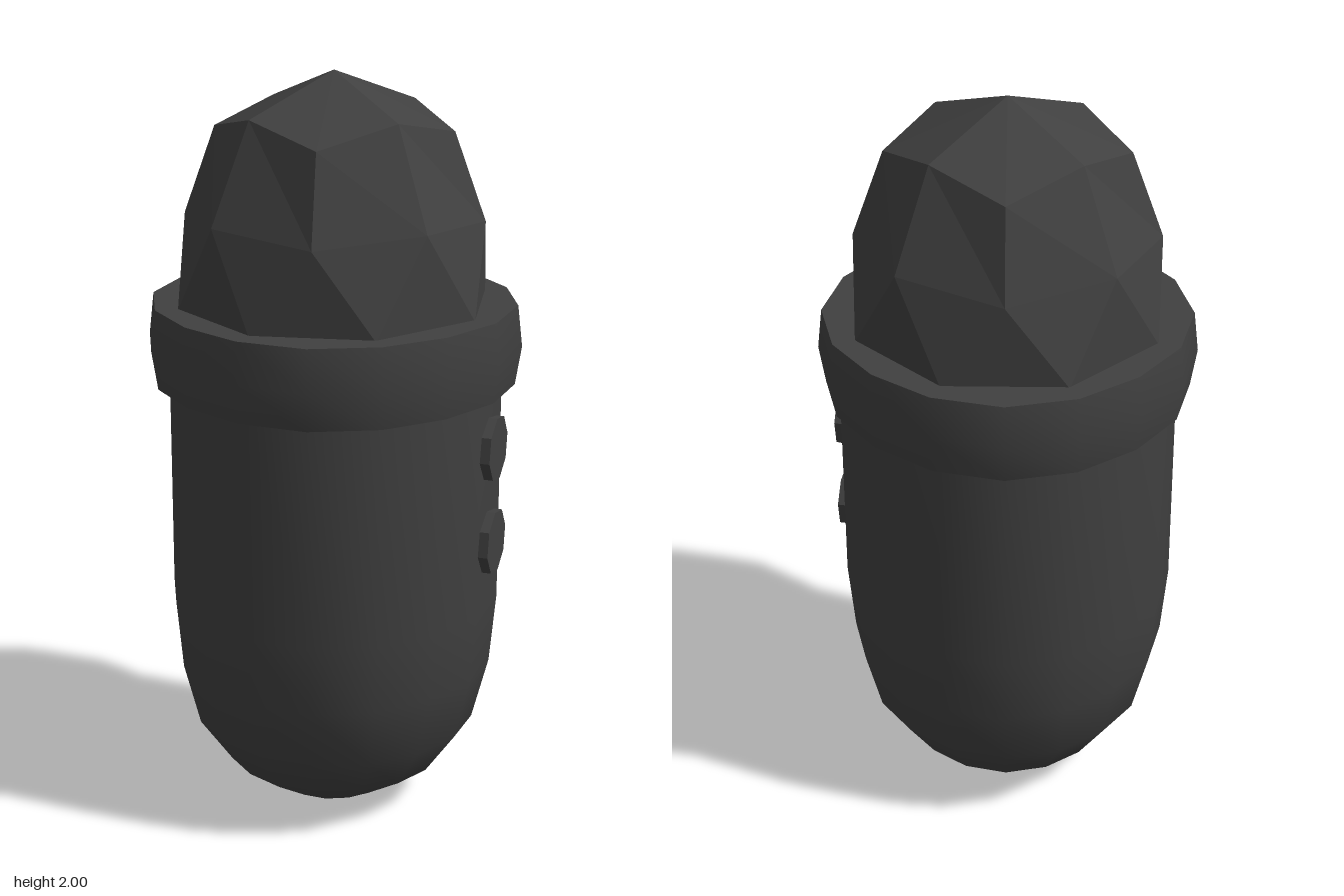
import * as THREE from 'three';
import { toCreasedNormals } from 'three/addons/utils/BufferGeometryUtils.js';

const SIDES = 16;

// 16-sided lathe, slightly squared toward the diagonals, with sharp edges kept
function turned(name, profile, material, crease) {
  const geo = new THREE.LatheGeometry(profile.map(([r, y]) => new THREE.Vector2(r, y)), SIDES);
  const p = geo.attributes.position;
  for (let i = 0; i < p.count; i++) {
    const k = 1.015 - 0.015 * Math.cos(4 * Math.atan2(p.getZ(i), p.getX(i)));
    p.setXYZ(i, p.getX(i) * k, p.getY(i), p.getZ(i) * k);
  }
  const mesh = new THREE.Mesh(toCreasedNormals(geo, crease), material);
  mesh.name = name;
  return mesh;
}

// Faceted dome: top quads, side quads, then a zigzag of triangles into the collar
function facetedHead() {
  const at = (r, y, step) => {
    const a = step * Math.PI / 4;
    return new THREE.Vector3(r * Math.sin(a), y, r * Math.cos(a));
  };
  const top = new THREE.Vector3(0, 2, 0);
  const upper = i => (i % 2 ? at(0.311, 1.85, i) : at(0.265, 1.9, i));
  const middle = i => (i % 2 ? at(0.393, 1.62, i) : at(0.383, 1.64, i));
  const lower = i => at(0.415, 1.395, i + 0.5);
  const pts = [];
  for (let i = 0; i < 8; i++) {
    const j = i + 1;
    pts.push(top, upper(i), upper(j));
    pts.push(upper(i), middle(i), middle(j), upper(i), middle(j), upper(j));
    pts.push(middle(i), lower(i), middle(j));
    pts.push(middle(j), lower(i), lower(j));
  }
  const geo = new THREE.BufferGeometry().setFromPoints(pts);
  geo.computeVertexNormals(); // unshared corners give flat facets
  return geo;
}

export function createModel() {
  const group = new THREE.Group();
  group.name = 'microphone';
  const charcoal = new THREE.MeshStandardMaterial({ color: 0x404040 });
  charcoal.name = 'charcoal';

  // Round-bottomed body
  group.add(turned('body', [
    [0, 0], [0.157, 0.03], [0.285, 0.11], [0.37, 0.23],
    [0.413, 0.4], [0.43, 0.59], [0.43, 1.25],
  ], charcoal, 0.8));

  // Collar with a flat top and underside
  group.add(turned('collar', [
    [0.41, 1.187], [0.464, 1.187], [0.48, 1.29], [0.468, 1.4], [0, 1.4],
  ], charcoal, 0.8));

  const head = new THREE.Mesh(facetedHead(), charcoal);
  head.name = 'head';
  group.add(head);

  // Two octagonal buttons set on one facet of the body
  const angle = 0.59;
  const buttonGeo = toCreasedNormals(new THREE.CylinderGeometry(0.088, 0.088, 0.06, 8), 0.5);
  buttonGeo.rotateY(0.2);
  buttonGeo.rotateZ(-Math.PI / 2);
  [1.037, 0.778].forEach((y, i) => {
    const button = new THREE.Mesh(buttonGeo, charcoal);
    button.name = i ? 'lowerButton' : 'upperButton';
    button.position.set(0.424 * Math.cos(angle), y, -0.424 * Math.sin(angle));
    button.rotation.y = angle;
    group.add(button);
  });

  return group;
}
